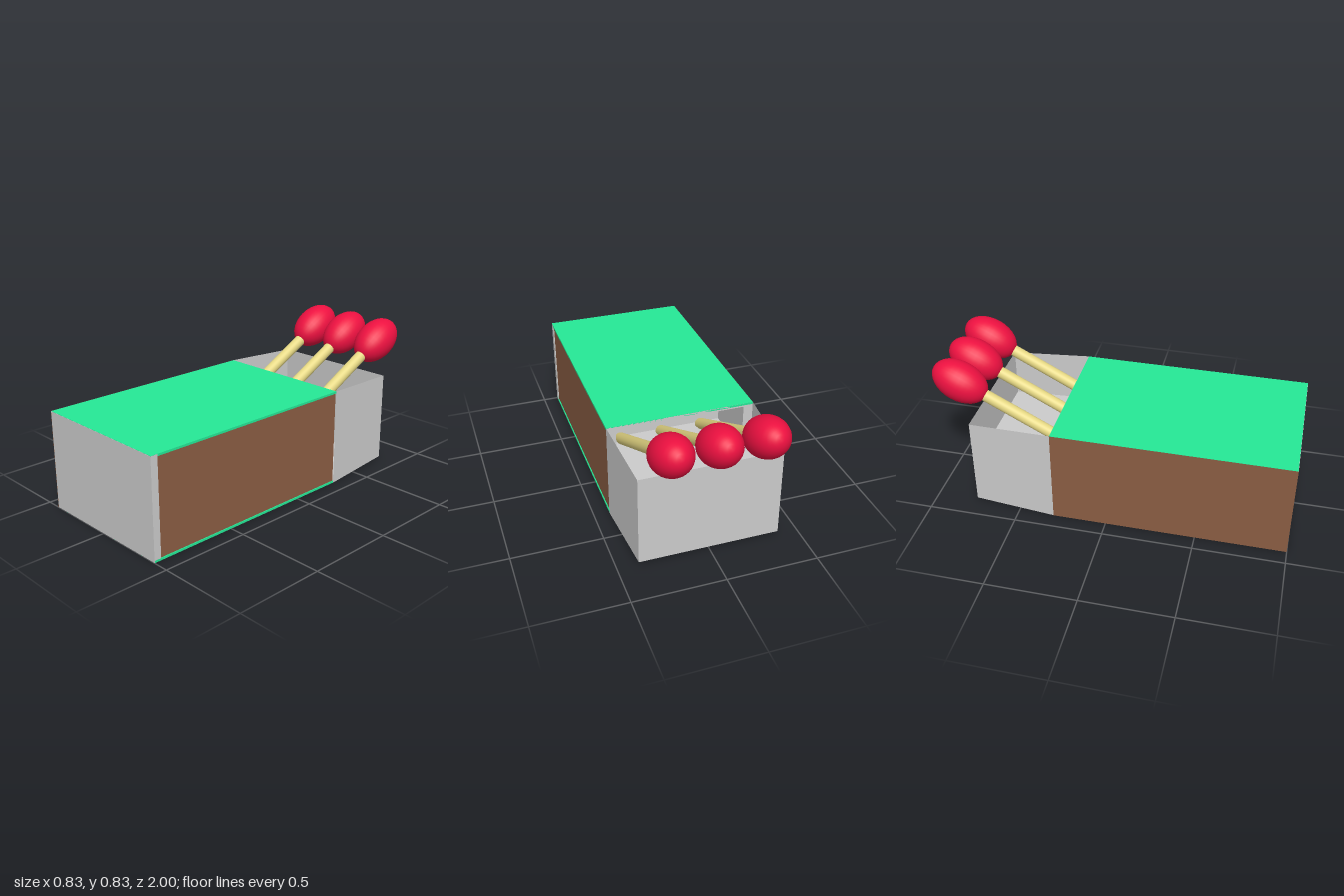
import * as THREE from 'three';

const W = 0.413, H = 0.553, MOUTH = -0.3;
const mat = (color) => new THREE.MeshStandardMaterial({ color, side: THREE.DoubleSide });

// Sheet from four corners, in order around its edge
function sheet(name, corners, material) {
  const geometry = new THREE.BufferGeometry();
  geometry.setAttribute('position', new THREE.Float32BufferAttribute(corners.flat(), 3));
  geometry.setIndex([0, 1, 2, 0, 2, 3]);
  const flat = geometry.toNonIndexed();
  flat.computeVertexNormals();
  const mesh = new THREE.Mesh(flat, material);
  mesh.name = name;
  return mesh;
}

// Box from its minimum and maximum corners
function slab(name, a, b, material) {
  const mesh = new THREE.Mesh(new THREE.BoxGeometry(b[0] - a[0], b[1] - a[1], b[2] - a[2]), material);
  mesh.position.set((a[0] + b[0]) / 2, (a[1] + b[1]) / 2, (a[2] + b[2]) / 2);
  mesh.name = name;
  return mesh;
}

function createSleeve(grey) {
  const sleeve = new THREE.Group();
  sleeve.name = 'sleeve';
  const green = mat(0x25e896), brown = mat(0x8b5d43);
  const t = 0.012, front = 0.96;
  sleeve.add(
    slab('sleeveTop', [-W, H - t, MOUTH], [W, H, 0.999], green),
    slab('sleeveBottom', [-W, 0, MOUTH], [W, t, 0.999], green),
    slab('sleeveFront', [-W + 0.001, 0.001, front], [W, H - 0.001, 1], grey),
    // Right striking strip covers the whole side, the left one is set in
    sheet('rightStrikingStrip', [[-W - 0.001, 0, MOUTH], [-W - 0.001, 0, 1], [-W - 0.001, H, 1], [-W - 0.001, H, MOUTH]], brown),
    slab('leftStrikingStrip', [W - t, t, MOUTH], [W - 0.005, H - t, front], brown),
  );
  return sleeve;
}

function createTray(grey) {
  const tray = new THREE.Group();
  tray.name = 'tray';
  const back = -0.76, bw = 0.386, low = 0.02, high = 0.535;
  const floorY = 0.25, innerW = 0.36, innerTop = H - 0.02, end = 0.05;

  // Tapering outer walls
  tray.add(
    sheet('trayBack', [[bw, low, back], [-bw, low, back], [-bw, high, back], [bw, high, back]], grey),
    sheet('trayBottom', [[-W, 0, MOUTH], [-bw, low, back], [bw, low, back], [W, 0, MOUTH]], grey),
    sheet('trayFloor', [[-W, floorY, MOUTH], [W, floorY, MOUTH], [bw, floorY, back], [-bw, floorY, back]], grey),
  );
  for (const s of [-1, 1]) {
    const side = s > 0 ? 'Left' : 'Right';
    tray.add(
      sheet('traySide' + side, [[s * W, 0, MOUTH], [s * bw, low, back], [s * bw, high, back], [s * W, H, MOUTH]], grey),
      sheet('cavitySide' + side, [[s * innerW, floorY, MOUTH], [s * innerW, floorY, end], [s * innerW, innerTop, end], [s * innerW, innerTop, MOUTH]], grey),
      sheet('mouthRim' + side, [[s * W, floorY, MOUTH], [s * innerW, floorY, MOUTH], [s * innerW, innerTop, MOUTH], [s * W, H, MOUTH]], grey),
    );
  }

  // Hollow running on under the sleeve
  tray.add(
    sheet('mouthRimTop', [[-W, H, MOUTH], [W, H, MOUTH], [innerW, innerTop, MOUTH], [-innerW, innerTop, MOUTH]], grey),
    sheet('cavityFloor', [[-innerW, floorY, MOUTH], [-innerW, floorY, end], [innerW, floorY, end], [innerW, floorY, MOUTH]], grey),
    sheet('cavityEnd', [[-innerW, floorY, end], [innerW, floorY, end], [innerW, innerTop, end], [-innerW, innerTop, end]], grey),
    sheet('cavityTop', [[-innerW, innerTop, MOUTH], [innerW, innerTop, MOUTH], [innerW, innerTop, end], [-innerW, innerTop, end]], grey),
  );
  return tray;
}

// Match with its head at the group origin and its stick along -y
function createMatch(stickMaterial, headMaterial) {
  const match = new THREE.Group();
  match.name = 'match';
  const length = 0.98;
  const stick = new THREE.Mesh(new THREE.CylinderGeometry(0.033, 0.033, length, 32), stickMaterial);
  stick.position.y = -length / 2;
  stick.name = 'matchStick';
  const head = new THREE.Mesh(new THREE.SphereGeometry(1, 32, 16).scale(0.109, 0.162, 0.109), headMaterial);
  head.name = 'matchHead';
  match.add(stick, head);
  return match;
}

export function createModel() {
  const model = new THREE.Group();
  model.name = 'matchbox';
  const grey = mat(0xcccccc);
  model.add(createSleeve(grey), createTray(grey));

  const stickMaterial = new THREE.MeshStandardMaterial({ color: 0xe6d884 });
  const headMaterial = new THREE.MeshStandardMaterial({ color: 0xec1040 });
  for (const x of [-0.237, 0.005, 0.248]) {
    const match = createMatch(stickMaterial, headMaterial);
    match.position.set(x, 0.7075, -0.8475);
    match.rotation.x = -THREE.MathUtils.degToRad(62.5);
    model.add(match);
  }
  return model;
}
